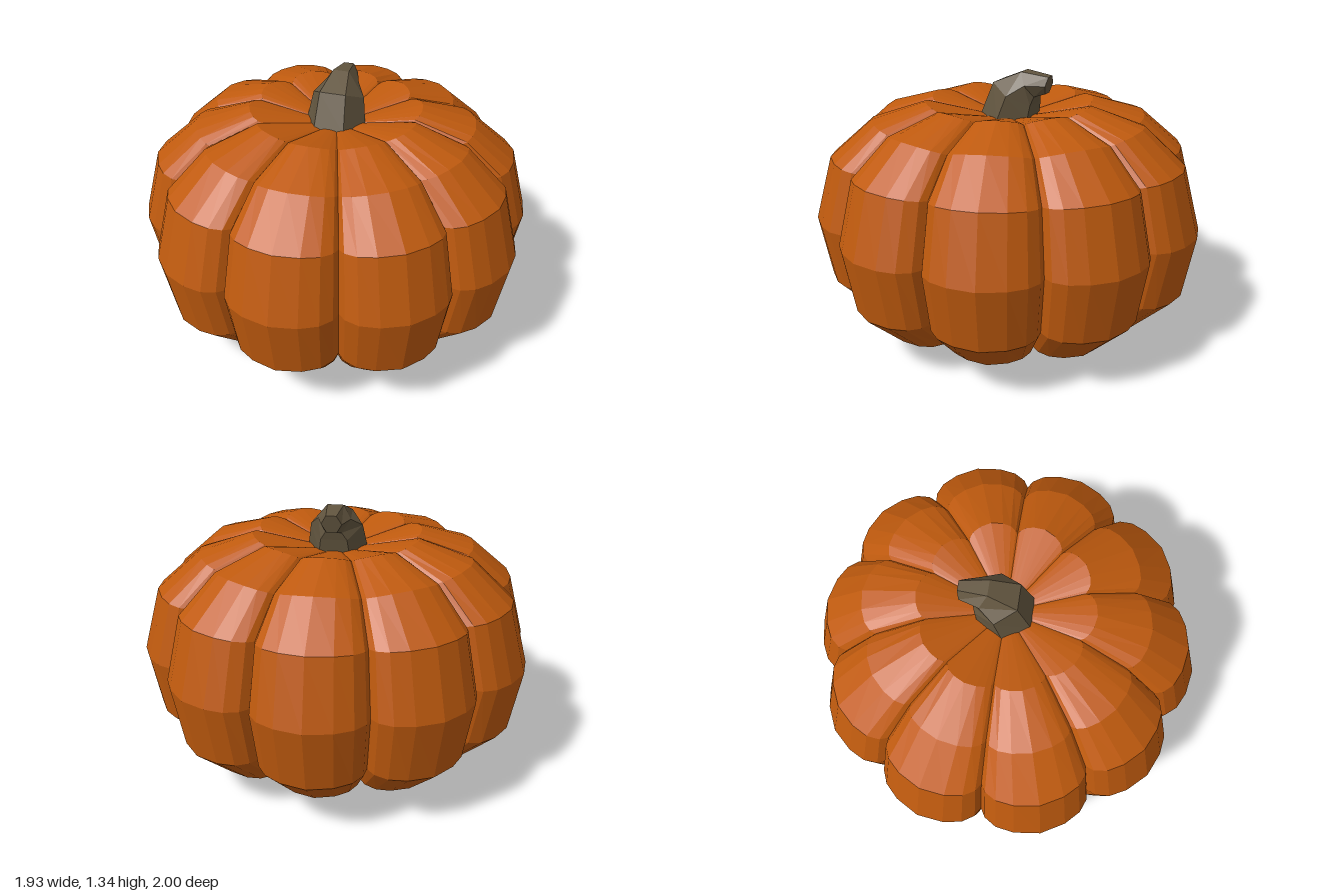
import * as THREE from 'three';

// Skins a stack of closed rings (top to bottom, counter-clockwise from above) and caps both ends
function loft(name, rings, color) {
  const n = rings[0].length;
  const pos = [];
  const tri = (...pts) => pts.forEach((p) => pos.push(p.x, p.y, p.z));
  const middle = (ring) => ring.reduce((s, p) => s.add(p), new THREE.Vector3()).divideScalar(n);
  const first = rings[0], last = rings[rings.length - 1];
  const c0 = middle(first), c1 = middle(last);
  for (let j = 0; j < n; j++) {
    const k = (j + 1) % n;
    tri(c0, first[j], first[k]);
    for (let i = 0; i < rings.length - 1; i++) {
      const a = rings[i], b = rings[i + 1];
      tri(a[j], b[j], b[k]);
      tri(a[j], b[k], a[k]);
    }
    tri(c1, last[k], last[j]);
  }
  const geo = new THREE.BufferGeometry();
  geo.setAttribute('position', new THREE.Float32BufferAttribute(pos, 3));
  geo.computeVertexNormals();
  const mesh = new THREE.Mesh(geo, new THREE.MeshStandardMaterial({ color, flatShading: true }));
  mesh.name = name;
  return mesh;
}

// Ribbed body: each row is [ridge radius, ridge y, crease radius, crease y]
function createBody() {
  const LOBES = 10;
  const half = Math.PI / LOBES;
  const profile = [
    [0.13, 1.13, 0.125, 1.12],
    [0.43, 1.20, 0.38, 1.165],
    [0.70, 1.12, 0.63, 1.08],
    [0.91, 0.94, 0.80, 0.92],
    [1.00, 0.62, 0.872, 0.62],
    [0.945, 0.30, 0.815, 0.32],
    [0.75, 0.11, 0.65, 0.145],
    [0.47, 0.005, 0.37, 0.04],
    [0.18, 0.04, 0.16, 0.06],
    [0.09, 0.075, 0.08, 0.09],
    [0.07, 0.20, 0.065, 0.20],
  ];
  // Lobe cross-section from ridge to crease: [sideways fraction, inward fraction]
  const side = [[0, 0], [0.48, 0.15], [0.79, 0.4], [0.96, 0.72], [1, 1]];
  const section = [
    ...side.slice(1).reverse().map(([s, d]) => [-s, d]),
    ...side.slice(0, -1),
  ];
  const rings = profile.map(([rr, ry, cr, cy]) => {
    const ring = [];
    for (let l = 0; l < LOBES; l++) {
      const a = l * 2 * half;
      for (const [s, d] of section) {
        const x = s * cr * Math.sin(half);
        const z = rr + (cr * Math.cos(half) - rr) * d;
        ring.push(new THREE.Vector3(
          x * Math.cos(a) + z * Math.sin(a),
          ry + (cy - ry) * d,
          z * Math.cos(a) - x * Math.sin(a)));
      }
    }
    return ring;
  });
  return loft('body', rings, 0xbf5a0e);
}

// Six-sided stem bending backwards: each row is [centre y, centre z, radius, tilt]
function createStem() {
  const stations = [
    [1.29, -0.213, 0.05, 1.75],
    [1.29, -0.115, 0.08, 1.04],
    [1.24, -0.04, 0.13, 0.46],
    [1.12, 0, 0.15, 0],
  ];
  const rings = stations.map(([y, z, r, tilt]) =>
    Array.from({ length: 6 }, (_, k) => {
      const a = (k + 0.5) * Math.PI / 3;
      const up = r * Math.cos(a);
      return new THREE.Vector3(
        r * Math.sin(a), y + up * Math.sin(tilt), z + up * Math.cos(tilt));
    }));
  return loft('stem', rings, 0x62553f);
}

export function createModel() {
  const group = new THREE.Group();
  group.name = 'pumpkin';
  group.add(createBody(), createStem());
  return group;
}
